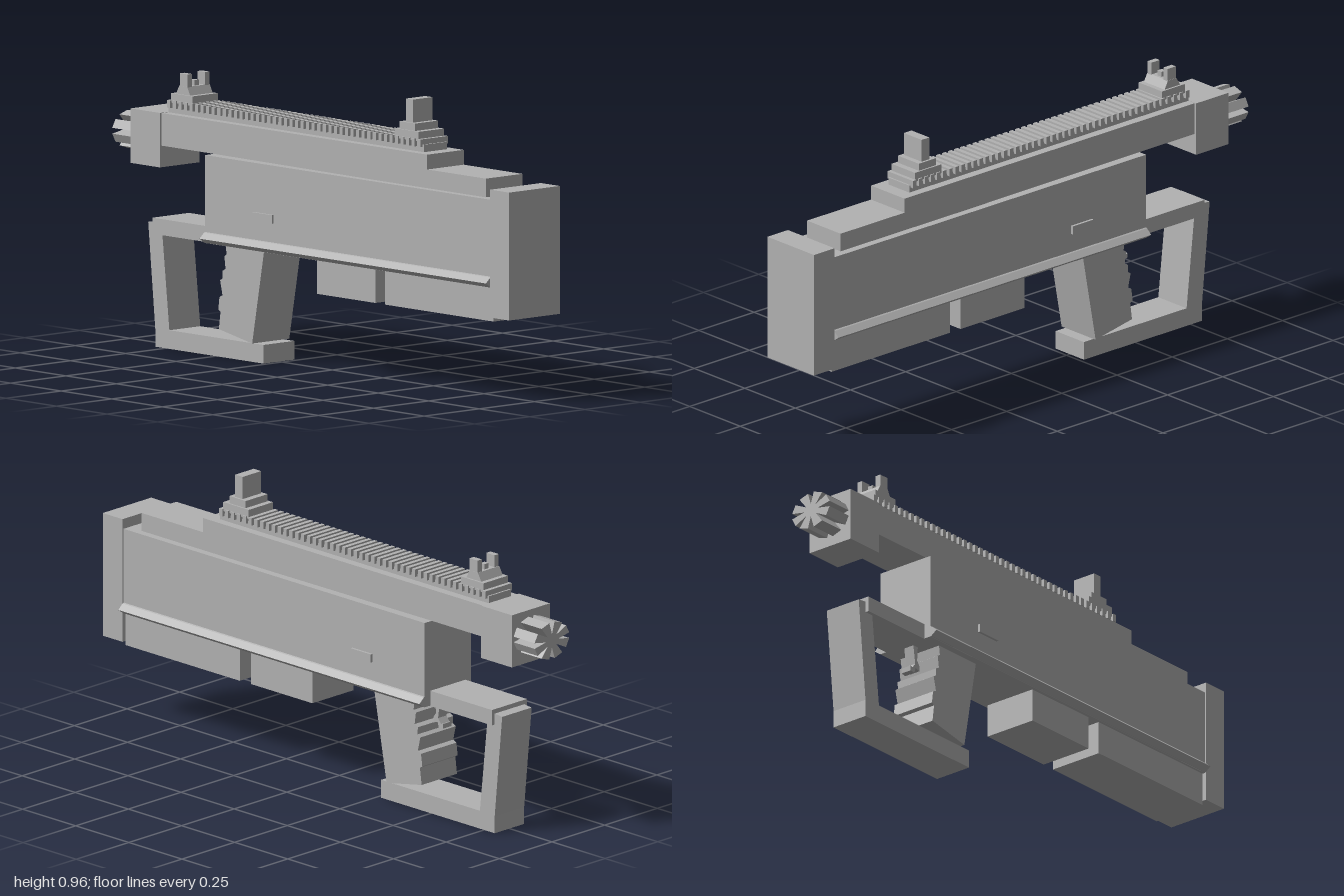
import * as THREE from 'three';

export function createModel() {
  const root = new THREE.Group();
  root.name = 'toyBlaster';
  const grey = new THREE.MeshStandardMaterial({ color: 0xb2b2b2 });
  grey.name = 'plain grey';

  const add = (name, geo, parent = root) => {
    const mesh = new THREE.Mesh(geo, grey);
    mesh.name = name;
    parent.add(mesh);
    return mesh;
  };
  const group = (name) => {
    const g = new THREE.Group();
    g.name = name;
    root.add(g);
    return g;
  };
  // Box from half width, y range and z range, optionally shifted in x
  const box = (name, hw, y0, y1, z0, z1, parent = root, x = 0) =>
    add(name, new THREE.BoxGeometry(hw * 2, y1 - y0, z1 - z0)
      .translate(x, (y0 + y1) / 2, (z0 + z1) / 2), parent);
  const shapeOf = (pts) => new THREE.Shape(pts.map(([a, b]) => new THREE.Vector2(a, b)));
  // Side profile in (z, y), extruded across x
  const profile = (name, pts, hw, parent = root) =>
    add(name, new THREE.ExtrudeGeometry(shapeOf(pts), { depth: hw * 2, bevelEnabled: false })
      .translate(0, 0, -hw).rotateY(-Math.PI / 2), parent);

  // Main body
  box('rearPlate', 0.115, 0.285, 0.717, 0.907, 1);
  box('body', 0.11, 0.385, 0.682, -0.51, 0.907);
  profile('upperBody', [[0.85, 0.68], [0.85, 0.745], [0.56, 0.745], [0.56, 0.795],
    [-0.9, 0.795], [-0.9, 0.685], [-0.51, 0.685]], 0.083);
  box('noseBlock', 0.09, 0.612, 0.796, -0.901, -0.755);
  box('rearUnderBlock', 0.1, 0.27, 0.386, 0.37, 0.907);
  box('forwardUnderBlock', 0.098, 0.27, 0.386, 0.03, 0.32);

  // Side ridges and buttons
  for (const s of [-1, 1]) {
    const pts = [[s * 0.1, 0.427], [s * 0.115, 0.42], [s * 0.135, 0.402], [s * 0.113, 0.386], [s * 0.1, 0.386]];
    add('sideRidge', new THREE.ExtrudeGeometry(shapeOf(pts), { depth: 1.417, bevelEnabled: false })
      .translate(0, 0, -0.51));
    box('sideButton', 0.01, 0.487, 0.516, -0.265, -0.17, root, s * 0.109);
  }

  // Fluted nozzle: radial prongs around a thin core
  const nozzle = group('nozzle');
  const star = [];
  const prongs = 8;
  for (let i = 0; i < prongs; i++) {
    const a = ((i + 0.5) / prongs) * Math.PI * 2;
    for (const [da, r] of [[-0.392, 0.35], [-0.24, 1], [0.24, 1]]) {
      star.push([Math.cos(a + da) * r * 0.083, Math.sin(a + da) * r * 0.065]);
    }
  }
  add('flutes', new THREE.ExtrudeGeometry(shapeOf(star), { depth: 0.101, bevelEnabled: false })
    .translate(0, 0.709, -1), nozzle);

  // Toothed top rail
  const rail = group('topRail');
  box('railBase', 0.052, 0.79, 0.82, -0.755, 0.51, rail);
  const teeth = 46, pitch = 1.265 / teeth;
  for (let i = 0; i < teeth; i++) {
    const z = -0.755 + (i + 0.5) * pitch;
    box('railTooth', 0.063, 0.812, 0.838, z - pitch * 0.28, z + pitch * 0.28, rail);
  }

  // Plate sight with a stepped foot
  const plateSight = group('plateSight');
  box('lowerStep', 0.058, 0.83, 0.862, 0.37, 0.49, plateSight);
  box('upperStep', 0.052, 0.862, 0.887, 0.39, 0.467, plateSight);
  box('plate', 0.044, 0.887, 0.965, 0.412, 0.447, plateSight);

  // Forked sight with a centre pin
  const forkSight = group('forkSight');
  box('lowerStep', 0.058, 0.83, 0.862, -0.735, -0.63, forkSight);
  profile('upperStep', [[-0.718, 0.862], [-0.702, 0.89], [-0.663, 0.89], [-0.648, 0.862]], 0.051, forkSight);
  for (const s of [-1, 1]) box('prong', 0.01, 0.885, 0.932, -0.7, -0.662, forkSight, s * 0.04);
  box('centrePin', 0.01, 0.885, 0.908, -0.692, -0.672, forkSight);

  // Grip with stepped finger notches
  profile('grip', [[-0.245, 0.39], [-0.305, 0.065], [-0.47, 0.096], [-0.462, 0.155], [-0.473, 0.162],
    [-0.467, 0.205], [-0.452, 0.212], [-0.464, 0.262], [-0.451, 0.27], [-0.452, 0.295],
    [-0.437, 0.303], [-0.443, 0.345], [-0.432, 0.352], [-0.437, 0.39]], 0.084);
  profile('trigger', [[-0.47, 0.39], [-0.494, 0.39], [-0.484, 0.32], [-0.498, 0.302], [-0.508, 0.305],
    [-0.507, 0.288], [-0.488, 0.285], [-0.482, 0.305], [-0.462, 0.3], [-0.463, 0.32], [-0.474, 0.335]], 0.02);

  // Hand guard loop
  const guard = group('handGuard');
  box('topBar', 0.083, 0.383, 0.437, -0.8, -0.505, guard);
  profile('frontPost', [[-0.765, 0.385], [-0.765, 0.425], [-0.835, 0.418], [-0.8, 0.06], [-0.73, 0.06]], 0.07, guard);
  box('bottomBar', 0.07, 0, 0.063, -0.8, -0.265, guard);

  return root;
}
